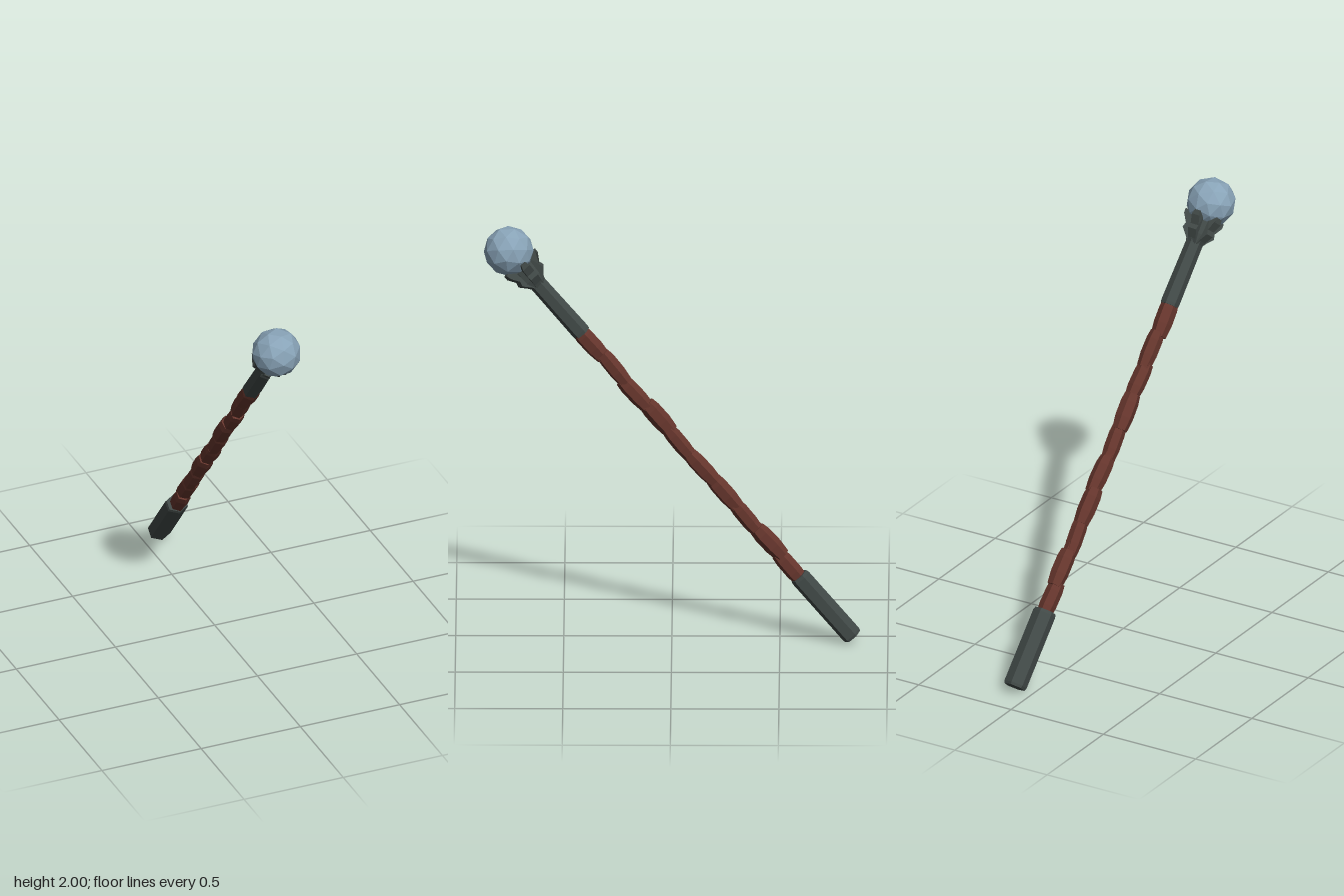
import * as THREE from 'three';

export function createModel() {
  const metal = new THREE.MeshStandardMaterial({ color: 0x404846 });
  metal.name = 'dark iron';
  const leather = new THREE.MeshStandardMaterial({ color: 0x65352c });
  leather.name = 'red brown leather';
  const crystal = new THREE.MeshStandardMaterial({ color: 0x88a3b7 });
  crystal.name = 'pale blue crystal';

  const model = new THREE.Group();
  model.name = 'staff';

  // The staff leans: local y runs from the butt to the orb
  const butt = new THREE.Vector3(0.08, 0.028, -0.838);
  const orbCentre = new THREE.Vector3(-0.015, 1.885, 0.755);
  const axis = orbCentre.clone().sub(butt);
  const length = axis.length();
  const staff = new THREE.Group();
  staff.name = 'leaningStaff';
  staff.position.copy(butt);
  staff.quaternion.setFromUnitVectors(new THREE.Vector3(0, 1, 0), axis.normalize());
  model.add(staff);

  // Faceted mesh with one normal per face
  function add(name, geometry, material, parent = staff) {
    const flat = geometry.index ? geometry.toNonIndexed() : geometry;
    flat.computeVertexNormals();
    const mesh = new THREE.Mesh(flat, material);
    mesh.name = name;
    parent.add(mesh);
    return mesh;
  }

  // Six-sided turned part from [radius, height] pairs
  const hexPart = (profile) =>
    new THREE.LatheGeometry(profile.map(([r, y]) => new THREE.Vector2(r, y)), 6);

  // Metal sleeve at the butt
  add('buttSleeve', hexPart([
    [0, 0], [0.044, 0], [0.048, 0.012], [0.048, 0.37], [0.044, 0.385], [0, 0.385],
  ]), metal).scale.x = 1.18;

  // Shaft core and overlapping, uneven wraps
  add('shaftCore', new THREE.CylinderGeometry(0.031, 0.031, 1.6, 6), leather).position.y = 1.15;
  const wraps = 10, start = 0.36, step = 1.58 / wraps;
  for (let i = 0; i < wraps; i++) {
    const r = 0.039 + 0.003 * Math.sin(i * 2.3);
    const h = step * 1.12;
    const wrap = add('shaftWrap', hexPart([
      [0, -h / 2], [r * 0.86, -h / 2], [r * 1.04, -h * 0.15], [r * 1.03, h * 0.28], [r * 0.88, h / 2], [0, h / 2],
    ]), leather);
    wrap.position.set(0.003 * Math.sin(i * 1.9), start + (i + 0.5) * step, 0.004 * Math.cos(i * 2.7));
    wrap.rotation.set(0.04 * Math.sin(i * 2.1), 0.15 * Math.sin(i * 1.3), 0.04 * Math.cos(i * 1.7));
  }

  // Metal sleeve and cup below the orb
  add('headSleeve', hexPart([
    [0, 1.925], [0.042, 1.925], [0.044, 1.94], [0.041, length - 0.21],
    [0.056, length - 0.165], [0.06, length - 0.1], [0, length - 0.1],
  ]), metal);

  // Claws gripping the orb, each with an outward spur
  const clawShape = new THREE.Shape([
    [0.032, -0.215], [0.045, -0.195], [0.077, -0.158], [0.07, -0.135],
    [0.095, -0.095], [0.098, -0.072], [0.084, -0.068], [0.055, -0.09], [0.032, -0.12],
  ].map(([x, y]) => new THREE.Vector2(x, y)));
  for (let i = 0; i < 5; i++) {
    const geometry = new THREE.ExtrudeGeometry(clawShape, { depth: 0.042, bevelEnabled: false });
    geometry.translate(0, 0, -0.021);
    // Narrow towards the tip
    const p = geometry.attributes.position;
    for (let k = 0; k < p.count; k++) {
      if (p.getY(k) > -0.08) p.setZ(k, p.getZ(k) * 0.6);
    }
    const claw = add('orbClaw', geometry, metal);
    claw.position.y = length;
    claw.rotation.y = Math.PI / 2 + (i * Math.PI * 2) / 5;
  }

  // Faceted orb
  const orb = add('orb', new THREE.IcosahedronGeometry(0.116, 1), crystal);
  orb.position.y = length;
  orb.rotation.set(0.3, 0.4, 0);

  return model;
}
